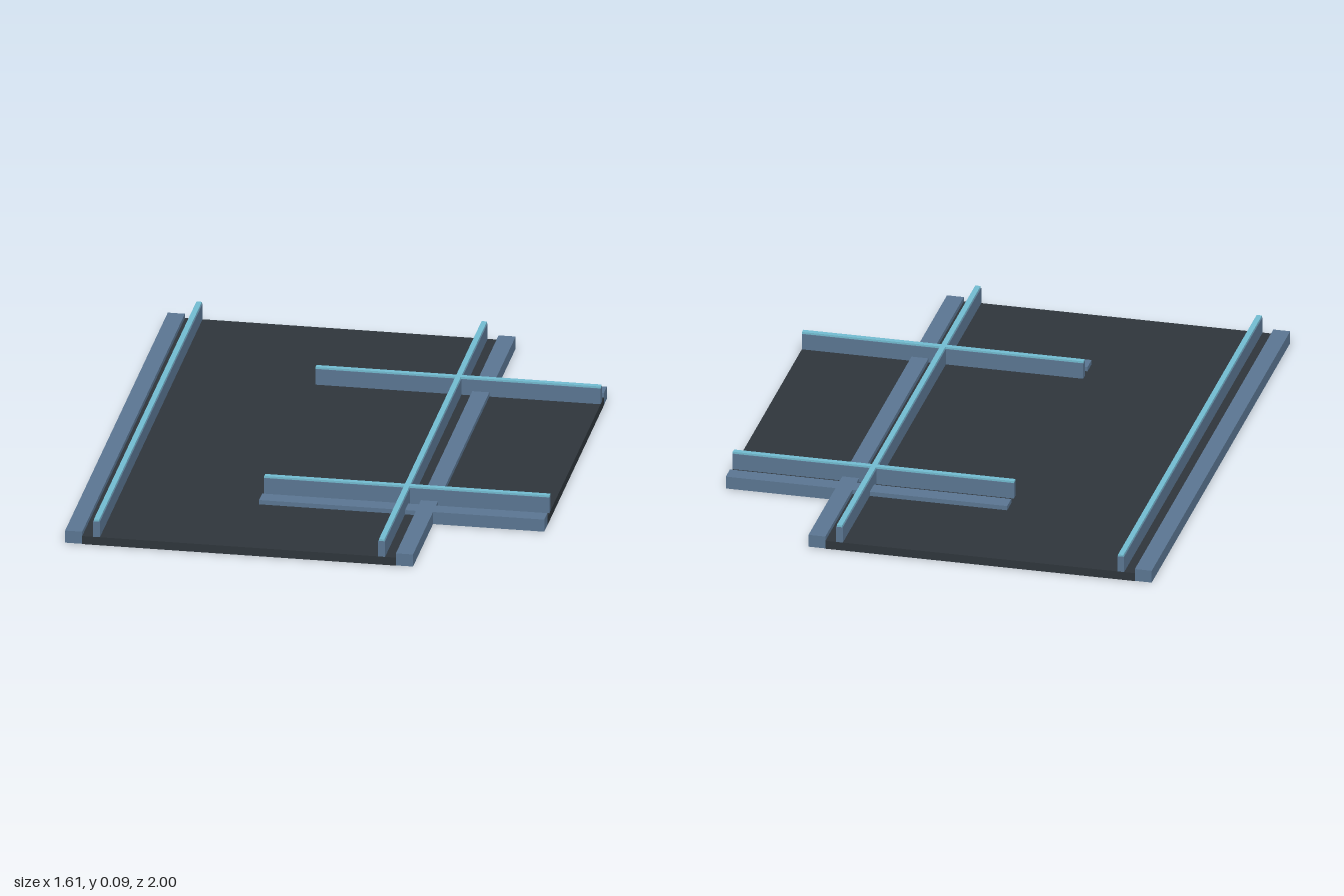
import * as THREE from 'three';

export function createModel() {
  const model = new THREE.Group();
  model.name = 'trackJunction';
  const mat = (name, color) => {
    const m = new THREE.MeshStandardMaterial({ color });
    m.name = name;
    return m;
  };
  const charcoal = mat('charcoal', 0x2e353b);
  const steelBlue = mat('steelBlue', 0x5a7591);
  const cyan = mat('cyan', 0x72bbd0);

  // Box given by its lower and upper corners
  const box = (name, material, [x0, y0, z0], [x1, y1, z1], parent = model) => {
    const mesh = new THREE.Mesh(new THREE.BoxGeometry(x1 - x0, y1 - y0, z1 - z0), material);
    mesh.position.set((x0 + x1) / 2, (y0 + y1) / 2, (z0 + z1) / 2);
    mesh.name = name;
    parent.add(mesh);
  };

  // Bar running along local z, centred across at x
  const bar = (parent, name, material, x, width, y0, y1, halfLength) =>
    box(name, material, [x - width / 2, y0, -halfLength], [x + width / 2, y1, halfLength], parent);

  // A pair of kerbs and capped rails, mirrored about the track's middle
  const trackSides = (name, halfLength) => {
    const track = new THREE.Group();
    track.name = name;
    for (const side of [-1, 1]) {
      bar(track, 'kerb', steelBlue, side * 0.58, 0.06, 0.001, 0.046, halfLength);
      bar(track, 'rail', steelBlue, side * 0.5, 0.024, 0.03, 0.088, halfLength);
      bar(track, 'railCap', cyan, side * 0.5, 0.019, 0.088, 0.095, halfLength);
    }
    model.add(track);
    return track;
  };

  // Road beds of the main track and the side branch
  box('mainBed', charcoal, [-0.75, 0, -1], [0.35, 0.03, 1]);
  box('branchBed', charcoal, [0.35, 0, -0.55], [0.8, 0.03, 0.55]);

  // Main track runs along z, the branch along x
  trackSides('mainTrack', 1).position.x = -0.2;
  const branch = trackSides('branchTrack', 0.5);
  branch.rotation.y = Math.PI / 2;
  branch.position.x = 0.3;

  return model;
}
